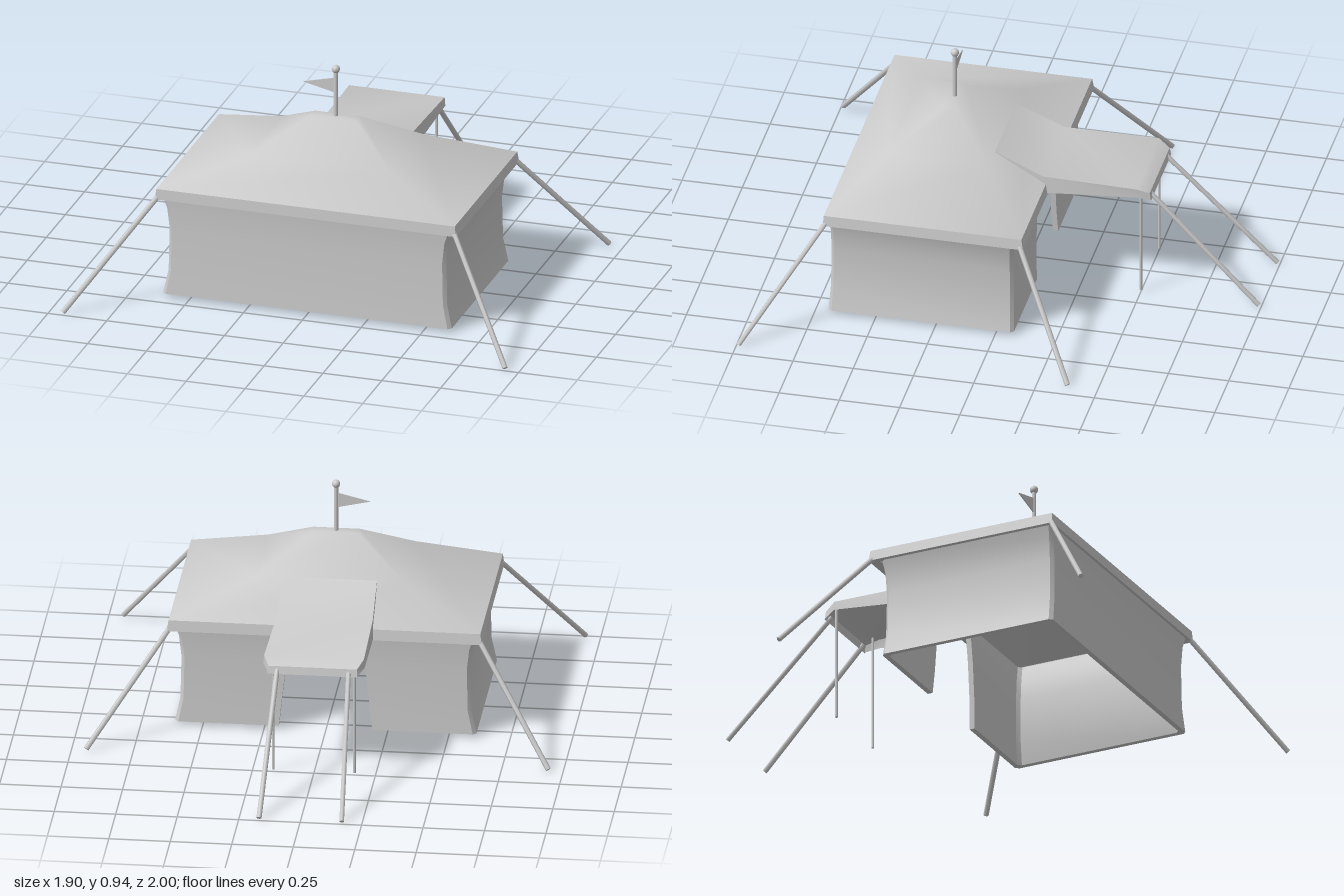
import * as THREE from 'three';
import { toCreasedNormals } from 'three/addons/utils/BufferGeometryUtils.js';

const material = new THREE.MeshStandardMaterial({ color: 0xcccccc, side: THREE.DoubleSide });

// Skin a list of equal-length rows of [x, y, z] points.
function loft(rows, closed, crease) {
  const n = rows[0].length;
  const index = [];
  for (let i = 0; i < rows.length - 1; i++) {
    for (let j = 0; j < (closed ? n : n - 1); j++) {
      const k = (j + 1) % n;
      const a = i * n + j, b = i * n + k, c = a + n, d = b + n;
      index.push(a, b, d, a, d, c);
    }
  }
  const geometry = new THREE.BufferGeometry();
  geometry.setAttribute('position', new THREE.Float32BufferAttribute(rows.flat(2), 3));
  geometry.setIndex(index);
  return toCreasedNormals(geometry, crease);
}

function add(group, name, geometry) {
  const mesh = new THREE.Mesh(geometry, material);
  mesh.name = name;
  group.add(mesh);
  return mesh;
}

// Cylinder running between two points.
function rod(group, name, from, to, radius, sides) {
  const a = new THREE.Vector3(...from), b = new THREE.Vector3(...to);
  const dir = b.clone().sub(a);
  const mesh = add(group, name, new THREE.CylinderGeometry(radius, radius, dir.length(), sides));
  mesh.position.copy(a).add(b).multiplyScalar(0.5);
  mesh.quaternion.setFromUnitVectors(new THREE.Vector3(0, 1, 0), dir.normalize());
}

// Thick cloth walls: a flared profile carried round the plan, with a doorway at the back.
function wallGeometry() {
  const levels = [ // y, half width, half depth, half doorway
    [0.02, 0.613, 0.385, 0.19], [0.12, 0.592, 0.38, 0.18], [0.3, 0.588, 0.378, 0.16],
    [0.39, 0.598, 0.38, 0.15], [0.46, 0.622, 0.387, 0.14],
  ];
  const zc = 0.31, t = 0.022, cut = 0.014;
  // corner: [x sign, z sign, x inset, z inset]
  const corners = [
    [1, -1, cut, 0], [1, -1, 0, cut], [1, 1, 0, cut], [1, 1, cut, 0],
    [-1, 1, cut, 0], [-1, 1, 0, cut], [-1, -1, 0, cut], [-1, -1, cut, 0],
  ];
  const profile = (point) => [
    ...levels.map((l) => point(l, 0)),
    ...levels.slice().reverse().map((l) => point(l, t)),
  ];
  const door = (s, collapsed) => profile(([y, , d, o], inset) =>
    [s * o, y, zc - d + (collapsed ? t : inset)]);
  const rows = [
    door(1, true), door(1, false),
    ...corners.map(([sx, sz, ix, iz]) => profile(([y, w, d], inset) =>
      [sx * (w - ix - inset), y, zc + sz * (d - iz - inset)])),
    door(-1, false), door(-1, true),
  ];
  return loft(rows, true, 0.6);
}

// Hipped roof with a hanging eave band.
function roofGeometry() {
  const rings = [ // y, half width, half depth, centre z
    [0.44, 0.605, 0.385, 0.3], [0.435, 0.64, 0.415, 0.295], [0.48, 0.634, 0.41, 0.297],
    [0.6, 0.3, 0.21, 0.31], [0.725, 0.095, 0.025, 0.31], [0.726, 0, 0, 0.31],
  ];
  const signs = [[1, 1], [1, -1], [-1, -1], [-1, 1]];
  return loft(rings.map(([y, w, d, z]) => signs.map(([sx, sz]) => [sx * w, y, z + sz * d])), true, 0.82);
}

// Awning over the doorway: flat top, side skirts and a drooping, tapered end.
function awningGeometry() {
  const sections = [ // z, half width, top y, skirt y
    [0.1, 0.19, 0.602, 0.58], [-0.1, 0.195, 0.515, 0.44], [-0.49, 0.203, 0.512, 0.475],
    [-0.54, 0.18, 0.487, 0.458], [-0.546, 0.18, 0.455, 0.452],
  ];
  return loft(sections.map(([z, w, top, low]) => [
    [-w - 0.003, low, z], [-w, top, z], [w, top, z], [w + 0.003, low, z],
  ]), false, 0.65);
}

export function createModel() {
  const tent = new THREE.Group();
  tent.name = 'tent';

  add(tent, 'walls', wallGeometry());
  add(tent, 'roof', roofGeometry());
  add(tent, 'awning', awningGeometry());

  // Guy ropes and awning supports, mirrored left and right
  for (const [side, s] of [['left', 1], ['right', -1]]) {
    rod(tent, side + 'FrontRope', [s * 0.63, 0.445, 0.7], [s * 0.94, 0.012, 0.99], 0.011, 6);
    rod(tent, side + 'BackRope', [s * 0.63, 0.445, -0.105], [s * 0.94, 0.012, -0.375], 0.011, 6);
    rod(tent, side + 'AwningRope', [s * 0.145, 0.475, -0.53], [s * 0.168, 0.012, -0.99], 0.011, 6);
    rod(tent, side + 'AwningPole', [s * 0.165, 0.015, -0.5], [s * 0.165, 0.505, -0.5], 0.006, 8);
  }

  // Mast with ball and pennant
  rod(tent, 'mast', [0, 0.7, 0.31], [0, 0.925, 0.31], 0.009, 12);
  const ball = add(tent, 'mastBall', new THREE.SphereGeometry(0.017, 16, 10));
  ball.position.set(0, 0.93, 0.31);
  const pennant = new THREE.Shape([
    new THREE.Vector2(0, 0.892), new THREE.Vector2(-0.14, 0.858), new THREE.Vector2(0, 0.826),
  ]);
  const flag = add(tent, 'flag', new THREE.ExtrudeGeometry(pennant, { depth: 0.004, bevelEnabled: false }));
  flag.position.z = 0.308;

  return tent;
}
